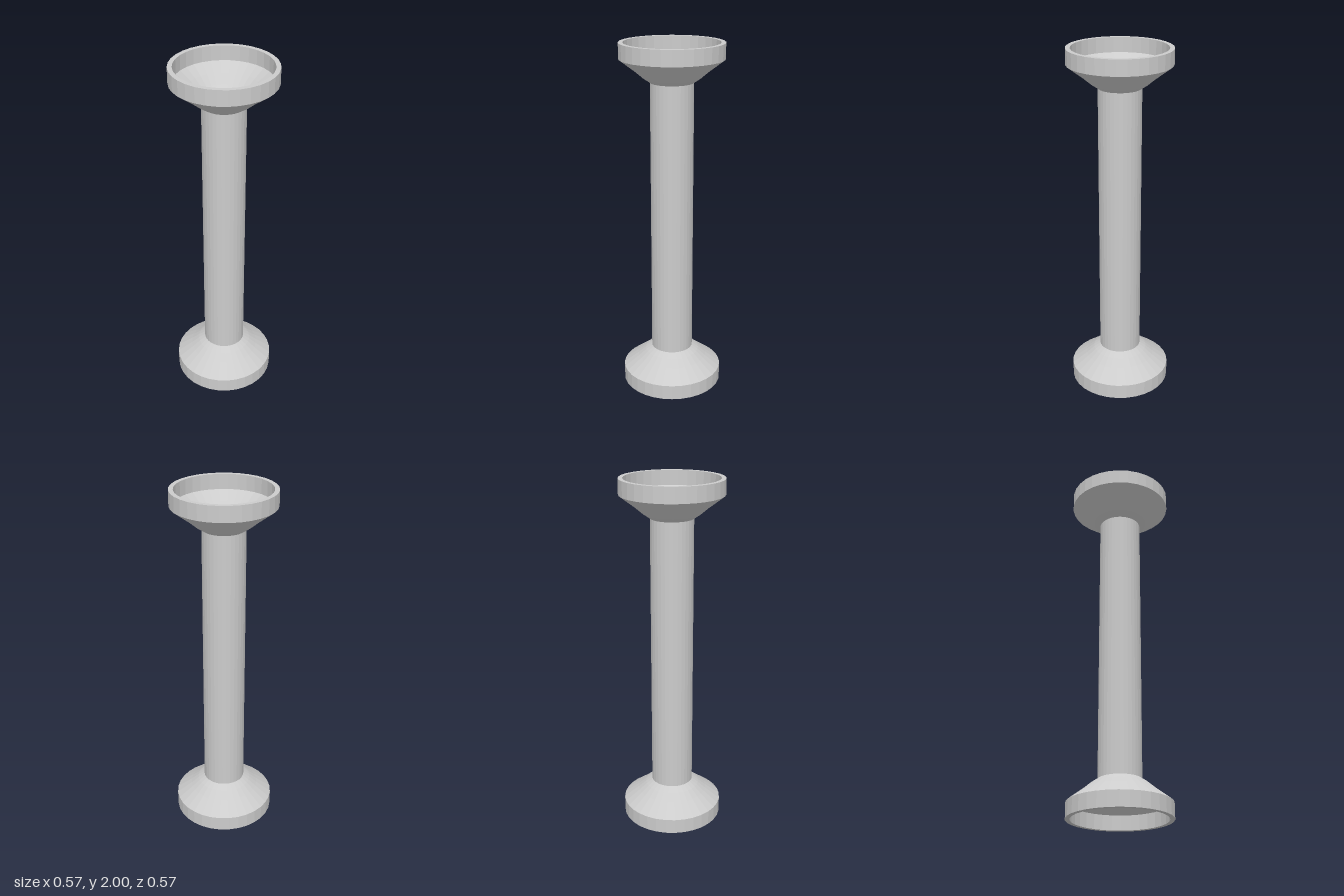
import * as THREE from 'three';

const SEGMENTS = 32;
const HEIGHT = 2;
const SHAFT_RADIUS = 0.119;
const CUP_HEIGHT = 0.213;

// Hollow flared cup, opening downwards: inner floor, inner wall, rim, outer wall
const CUP_PROFILE = [
  [0, 0.195], [0.111, 0.195], [0.15, 0.17], [0.2, 0.128], [0.261, 0.083], [0.261, 0],
  [0.286, 0], [0.286, 0.086], [0.2, 0.151], [0.156, 0.188], [SHAFT_RADIUS, CUP_HEIGHT],
].map(([r, y]) => new THREE.Vector2(r, y));

export function createModel() {
  const group = new THREE.Group();
  const material = new THREE.MeshStandardMaterial({ color: 0xcccccc, flatShading: true });

  // Shaft running between the two cups
  const shaft = new THREE.Mesh(
    new THREE.CylinderGeometry(SHAFT_RADIUS, SHAFT_RADIUS, HEIGHT - 2 * CUP_HEIGHT, SEGMENTS, 1, true),
    material,
  );
  shaft.name = 'shaft';
  shaft.position.y = HEIGHT / 2;
  group.add(shaft);

  // Bottom cup, and the same cup turned over at the top
  const cupGeometry = new THREE.LatheGeometry(CUP_PROFILE, SEGMENTS);
  const bottomCup = new THREE.Mesh(cupGeometry, material);
  bottomCup.name = 'bottomCup';
  const topCup = new THREE.Mesh(cupGeometry, material);
  topCup.name = 'topCup';
  topCup.rotation.x = Math.PI;
  topCup.position.y = HEIGHT;
  group.add(bottomCup, topCup);

  return group;
}
